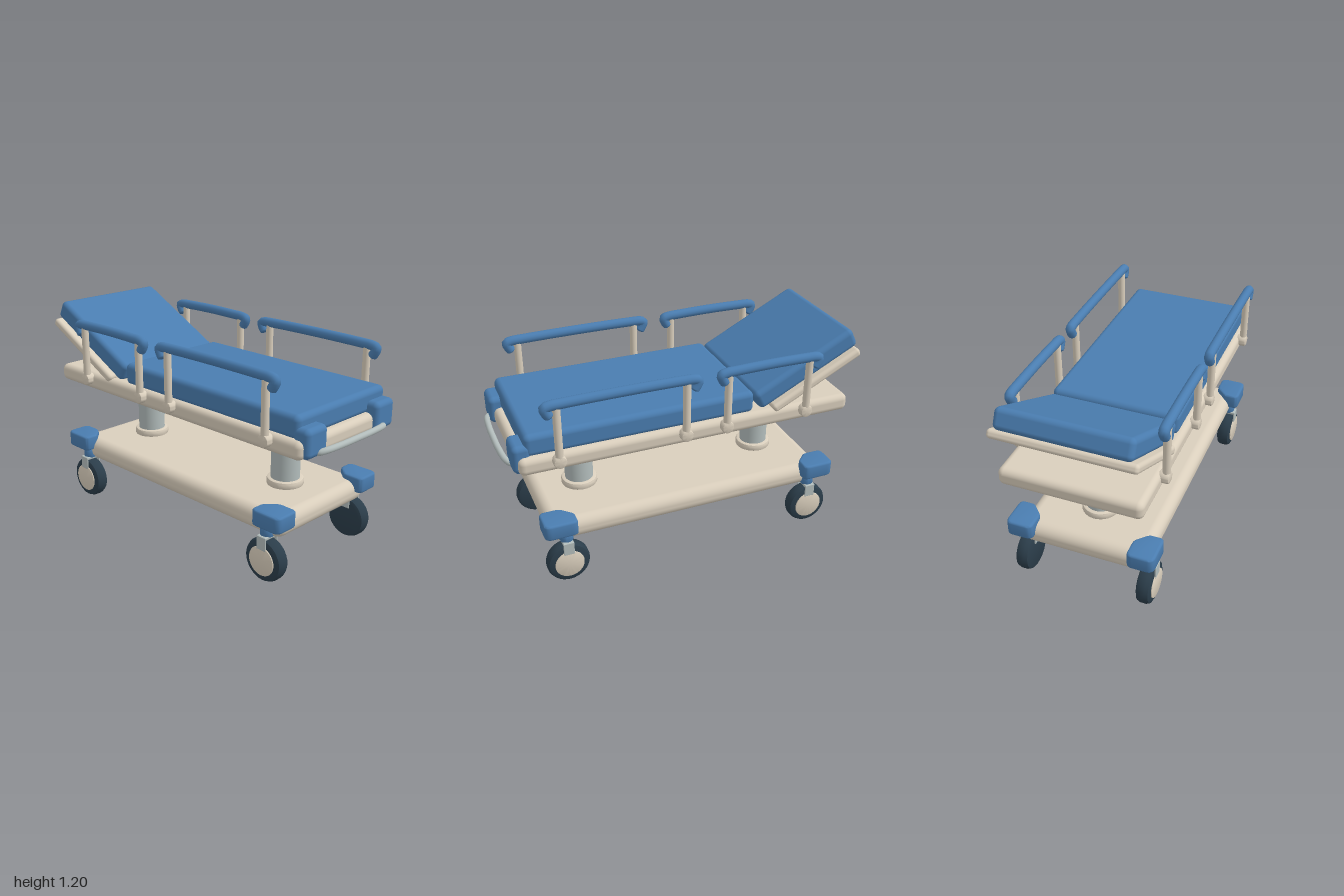
import * as THREE from 'three';
import { RoundedBoxGeometry } from 'three/addons/geometries/RoundedBoxGeometry.js';
import { toCreasedNormals } from 'three/addons/utils/BufferGeometryUtils.js';

const material = (name, color) => {
  const m = new THREE.MeshStandardMaterial({ color });
  m.name = name;
  return m;
};

export function createModel() {
  const model = new THREE.Group();
  model.name = 'hospitalBed';
  const blue = material('blue', 0x4a7db0);
  const cream = material('cream', 0xd9cebc);
  const steel = material('steel', 0xb2bcbb);
  const rubber = material('darkRubber', 0x2b3d4a);
  const red = material('red', 0xb83c3c);
  const green = material('green', 0x2f8f78);

  const add = (name, geometry, mat, x = 0, y = 0, z = 0, parent = model) => {
    const mesh = new THREE.Mesh(geometry, mat);
    mesh.name = name;
    mesh.position.set(x, y, z);
    parent.add(mesh);
    return mesh;
  };
  const rounded = (w, h, d, r) => new RoundedBoxGeometry(w, h, d, 4, r);
  // Cylinder with bevelled rims, centred on the y axis
  const disc = (r, h, b) => toCreasedNormals(new THREE.LatheGeometry([
    [0, -h / 2], [r - b, -h / 2], [r - b * 0.3, -h / 2 + b * 0.3], [r, -h / 2 + b],
    [r, h / 2 - b], [r - b * 0.3, h / 2 - b * 0.3], [r - b, h / 2], [0, h / 2],
  ].map(([x, y]) => new THREE.Vector2(x, y)), 32), 0.6);
  // Round bar along a path with closed ends
  const bar = (points, r, segments = 48) => {
    const curve = new THREE.CatmullRomCurve3(points.map((p) => new THREE.Vector3(...p)), false, 'centripetal');
    return new THREE.TubeGeometry(curve, segments, r, 14);
  };

  // Base and lifting columns
  add('base', rounded(0.72, 0.13, 1.65, 0.058), cream, 0, 0.31, -0.022);
  for (const z of [0.53, -0.57]) {
    add('liftColumn', new THREE.CylinderGeometry(0.08, 0.08, 0.38, 32), steel, 0, 0.55, z);
    add('columnCollar', disc(0.102, 0.045, 0.012), cream, 0, 0.39, z);
  }
  add('redPedal', rounded(0.155, 0.02, 0.125, 0.004), red, 0.122, 0.243, 0.347);
  add('greenPedal', rounded(0.155, 0.02, 0.125, 0.004), green, -0.152, 0.243, 0.347);

  // Corner bumpers with the inner corner cut away
  const outline = (sx, sz) => {
    let corners = [[0.063, -0.08], [0.063, 0.08], [-0.063, 0.08], [-0.063, -0.02], [-0.005, -0.08]];
    corners = corners.map(([x, z]) => new THREE.Vector2(x * sx, -z * sz));
    const shape = new THREE.Shape();
    const n = corners.length;
    corners.forEach((c, i) => {
      const a = c.clone().lerp(corners[(i + n - 1) % n], 0.18);
      const b = c.clone().lerp(corners[(i + 1) % n], 0.18);
      if (i === 0) shape.moveTo(a.x, a.y);
      else shape.lineTo(a.x, a.y);
      shape.quadraticCurveTo(c.x, c.y, b.x, b.y);
    });
    shape.closePath();
    return shape;
  };
  const bumper = (sx, sz) => toCreasedNormals(new THREE.ExtrudeGeometry(outline(sx, sz), {
    depth: 0.066, bevelEnabled: true, bevelSize: 0.012, bevelThickness: 0.012, bevelSegments: 3, curveSegments: 5,
  }).rotateX(-Math.PI / 2), 0.7);

  // Casters
  const tyre = disc(0.12, 0.08, 0.025).rotateZ(Math.PI / 2);
  const hub = disc(0.082, 0.012, 0.004).rotateZ(Math.PI / 2);
  for (const sx of [1, -1]) {
    for (const [sz, bumperZ, wheelZ] of [[1, 0.748, 0.714], [-1, -0.795, -0.757]]) {
      add('cornerBumper', bumper(sx, sz), blue, sx * 0.34, 0.327, bumperZ);
      const caster = new THREE.Group();
      caster.name = 'caster';
      caster.position.set(sx * 0.349, 0, wheelZ);
      model.add(caster);
      add('tyre', tyre, rubber, 0, 0.12, 0, caster);
      add('hubCap', hub, cream, sx * 0.04, 0.12, 0, caster);
      add('forkTop', rounded(0.094, 0.018, 0.06, 0.006), steel, 0, 0.252, 0, caster);
      for (const side of [1, -1]) {
        add('forkPlate', rounded(0.008, 0.075, 0.06, 0.003), steel, side * 0.044, 0.222, 0, caster);
      }
      add('swivelCap', disc(0.037, 0.055, 0.008), blue, 0, 0.281, 0, caster);
    }
  }

  // Bed deck and flat mattress
  add('bedDeck', rounded(0.77, 0.1, 1.89, 0.035), cream, 0, 0.77, -0.012);
  add('mattress', rounded(0.71, 0.125, 1.27, 0.032), blue, 0, 0.872, 0.258);

  // Raised backrest, with z running along its slope
  const backrest = new THREE.Group();
  backrest.name = 'backrest';
  backrest.position.set(0, 1.008, -0.69);
  backrest.rotation.x = THREE.MathUtils.degToRad(27);
  model.add(backrest);
  add('backrestMattress', rounded(0.71, 0.115, 0.65, 0.03), blue, 0, 0, 0, backrest);
  add('backrestBoard', rounded(0.77, 0.05, 0.58, 0.02), cream, 0, -0.082, -0.02, backrest);
  for (const x of [-0.23, 0.23]) {
    add('backrestGrip', bar([[x, -0.1, -0.15], [x, -0.117, -0.165], [x, -0.117, -0.225], [x, -0.1, -0.24]], 0.008, 16),
      steel, 0, 0, 0, backrest);
  }

  // Foot end: corner pads and push handle
  for (const sx of [1, -1]) {
    add('footPad', rounded(0.158, 0.155, 0.1, 0.03), blue, sx * 0.276, 0.802, 0.907);
  }
  add('pushHandle', bar([
    [-0.245, 0.738, 0.9], [-0.265, 0.746, 0.945], [-0.235, 0.754, 0.968], [-0.12, 0.757, 0.981], [0, 0.758, 0.983],
    [0.12, 0.757, 0.981], [0.235, 0.754, 0.968], [0.265, 0.746, 0.945], [0.245, 0.738, 0.9],
  ], 0.017), steel);

  // Side rails: bars with turned-down ends on pivoting posts
  const pivot = disc(0.035, 0.056, 0.01).rotateZ(Math.PI / 2);
  const post = new THREE.CylinderGeometry(0.021, 0.021, 0.31, 16);
  const cap = new THREE.SphereGeometry(0.027, 14, 10).scale(1, 0.5, 1);
  for (const sx of [1, -1]) {
    const x = sx * 0.402;
    for (const [z, half, posts] of [[0.385, 0.435, [0.73, 0.043]], [-0.437, 0.318, [-0.193, -0.67]]]) {
      const side = (s) => [
        [0, 1.057, s * (half - 0.05)], [0, 1.08, s * (half - 0.036)], [0, 1.1, s * (half - 0.031)],
        [0, 1.109, s * (half - 0.055)], [0, 1.112, s * (half - 0.12)],
      ];
      add('railBar', bar([...side(1), [0, 1.115, 0], ...side(-1).reverse()], 0.027, 96), blue, x, 0, z);
      for (const s of [1, -1]) {
        const end = add('railEnd', cap, blue, x, 1.057, z + s * (half - 0.05));
        end.rotation.x = s * 0.55;
      }
      for (const pz of posts) {
        add('railPost', post, cream, x, 0.945, pz);
        add('railPivot', pivot, cream, sx * 0.395, 0.787, pz);
      }
    }
  }
  return model;
}
